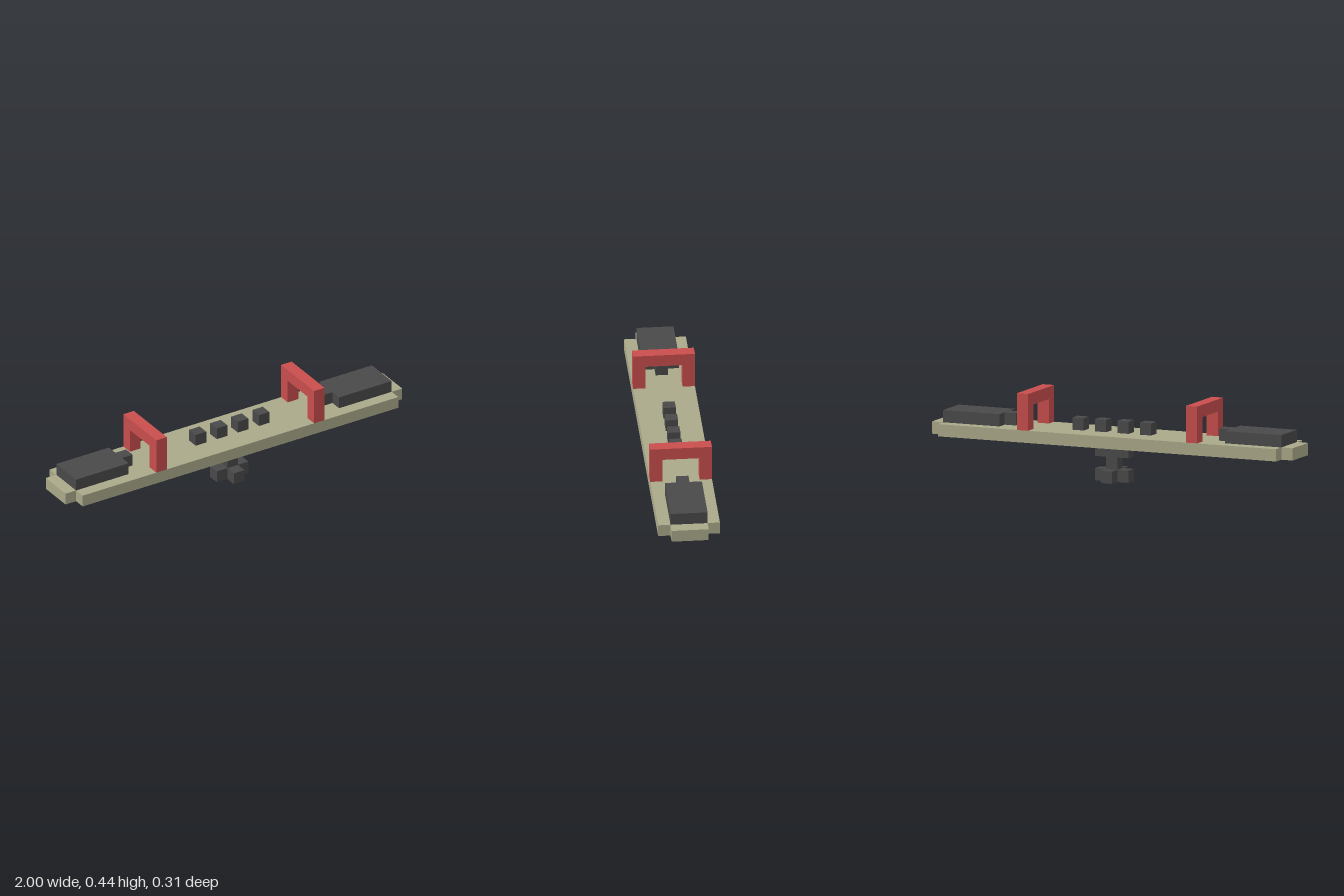
import * as THREE from 'three';

// Everything sits on a grid of 1/16 unit cells.
const U = 1 / 16;

function material(name, color) {
  const m = new THREE.MeshStandardMaterial({ color });
  m.name = name;
  return m;
}

function outline(points) {
  return new THREE.Shape(points.map(([a, b]) => new THREE.Vector2(a * U, b * U)));
}

// Plan outline in x and z, extruded upwards from y0 to y1.
function slab(points, y0, y1) {
  const g = new THREE.ExtrudeGeometry(outline(points.map(([x, z]) => [x, -z])), {
    depth: (y1 - y0) * U, bevelEnabled: false,
  });
  return g.rotateX(-Math.PI / 2).translate(0, y0 * U, 0);
}

// Outline in z and y, extruded along x from x0 to x1.
function profile(points, x0, x1) {
  const g = new THREE.ExtrudeGeometry(outline(points.map(([z, y]) => [-z, y])), {
    depth: (x1 - x0) * U, bevelEnabled: false,
  });
  return g.rotateY(Math.PI / 2).translate(x0 * U, 0, 0);
}

function box(x0, x1, y0, y1, z0, z1) {
  return new THREE.BoxGeometry((x1 - x0) * U, (y1 - y0) * U, (z1 - z0) * U)
    .translate((x0 + x1) * U / 2, (y0 + y1) * U / 2, (z0 + z1) * U / 2);
}

export function createModel() {
  const model = new THREE.Group();
  model.name = 'controlBoard';
  const khaki = material('khaki', 0xaaa98a);
  const red = material('red', 0xc94d4d);
  const charcoal = material('charcoal', 0x494949);

  const add = (name, geometry, mat) => {
    const mesh = new THREE.Mesh(geometry, mat);
    mesh.name = name;
    model.add(mesh);
  };

  // Long board with narrower tips
  add('board', slab([
    [-16, -1.5], [-15, -1.5], [-15, -2.5], [15, -2.5], [15, -1.5], [16, -1.5],
    [16, 1.5], [15, 1.5], [15, 2.5], [-15, 2.5], [-15, 1.5], [-16, 1.5],
  ], 3, 4), khaki);

  // Mirrored end pads with a nub, and arched handles
  for (const [side, s] of [['left', 1], ['right', -1]]) {
    add(side + 'Pad', slab([
      [15, -1.5], [15, 1.5], [10, 1.5], [10, 0.5],
      [9, 0.5], [9, -0.5], [10, -0.5], [10, -1.5],
    ].map(([x, z]) => [s * x, z]), 4, 5), charcoal);

    add(side + 'Handle', profile([
      [-2.5, 4], [-1.5, 4], [-1.5, 6], [1.5, 6],
      [1.5, 4], [2.5, 4], [2.5, 7], [-2.5, 7],
    ], s > 0 ? 7 : -8, s > 0 ? 8 : -7), red);
  }

  // Row of buttons
  [-3, -1, 1, 3].forEach((x, i) => {
    add('button' + (i + 1), box(x, x + 1, 4, 5, -0.5, 0.5), charcoal);
  });

  // Mount below the board: bracket, stem and cross-shaped foot
  add('bracket', box(-1, 2, 2, 3, -0.5, 0.5), charcoal);
  add('stem', box(0, 1, 1, 2, -0.5, 0.5), charcoal);
  add('foot', slab([
    [-1, -0.5], [0, -0.5], [0, -1.5], [1, -1.5], [1, -0.5], [2, -0.5],
    [2, 0.5], [1, 0.5], [1, 1.5], [0, 1.5], [0, 0.5], [-1, 0.5],
  ], 0, 1), charcoal);

  return model;
}
